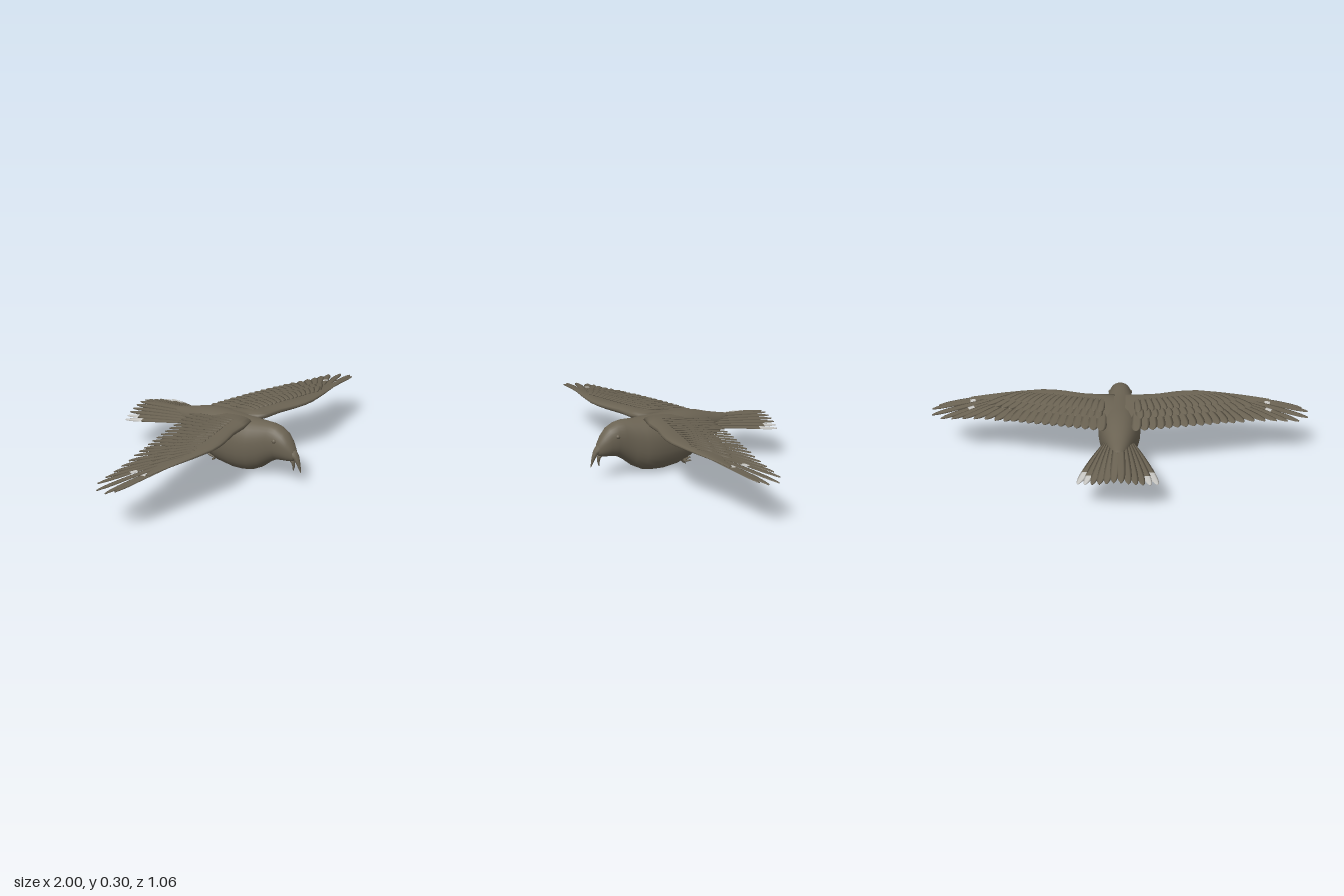
import * as THREE from 'three';

const V = (x, y, z) => new THREE.Vector3(x, y, z);
const lerp = THREE.MathUtils.lerp;

// Cross-section outlines as functions of the angle
const round = (a) => [Math.cos(a), Math.sin(a)];
const full = (a) => round(a).map((n) => Math.sign(n) * Math.abs(n) ** 0.9);
const airfoil = (a) => [Math.cos(a), Math.sin(a) * (0.6 + 0.4 * Math.cos(a))];

// Closed skin through rings of { c: centre, u, v: half axes }
function loft(rings, shape = round, sides = 10) {
  const pos = [], idx = [], n = rings.length;
  const along = rings[n - 1].c.clone().sub(rings[0].c);
  const mid = rings[n >> 1];
  const turn = mid.u.clone().cross(mid.v).dot(along) < 0 ? -1 : 1;
  for (const { c, u, v } of rings) {
    for (let j = 0; j < sides; j++) {
      const [p, q] = shape((turn * j * 2 * Math.PI) / sides);
      pos.push(...c.clone().addScaledVector(u, p).addScaledVector(v, q).toArray());
    }
  }
  pos.push(...rings[0].c.toArray(), ...rings[n - 1].c.toArray());
  const first = n * sides, last = first + 1;
  for (let j = 0; j < sides; j++) {
    const k = (j + 1) % sides, e = (n - 1) * sides;
    for (let i = 0; i < n - 1; i++) {
      const a = i * sides + j, b = i * sides + k;
      idx.push(a, b, b + sides, a, b + sides, a + sides);
    }
    idx.push(first, k, j, last, e + j, e + k);
  }
  const g = new THREE.BufferGeometry();
  g.setAttribute('position', new THREE.Float32BufferAttribute(pos, 3));
  g.setIndex(idx);
  g.computeVertexNormals();
  return g;
}

// Tapered limb through [x, y, z, radius across, radius up]
function limb(points) {
  const cs = points.map((p) => V(p[0], p[1], p[2]));
  return loft(points.map((p, i) => {
    const t = cs[Math.min(i + 1, cs.length - 1)].clone().sub(cs[Math.max(i - 1, 0)]).normalize();
    const u = V(1, 0, 0);
    return { c: cs[i], v: t.cross(u).normalize().multiplyScalar(p[4]), u: u.multiplyScalar(p[3]) };
  }));
}

// Height of the wing's upper side
const wingTop = (x) => 0.298 - 0.055 * x * x;
const wingY = (x, z) => wingTop(x) - 0.01 - 0.1 * Math.max(0, 0.25 - z);

export function createModel() {
  const plumage = new THREE.MeshStandardMaterial({ color: 0x6b6353 });
  plumage.name = 'brownPlumage';
  const pale = new THREE.MeshStandardMaterial({ color: 0xc9c8c4 });
  pale.name = 'paleMarking';

  const bird = new THREE.Group();
  bird.name = 'flyingBird';
  const add = (parent, name, geo, mat = plumage) => {
    const m = new THREE.Mesh(geo, mat);
    m.name = name;
    parent.add(m);
    return m;
  };
  const group = (name) => {
    const g = new THREE.Group();
    g.name = name;
    bird.add(g);
    return g;
  };

  // Thin blade from root to tip; colour alternates brown and pale at each cut
  function feather(parent, name, root, tip, half, roll, cuts = []) {
    const dir = tip.clone().sub(root);
    const side = dir.clone().cross(V(0, 1, 0)).normalize();
    if (side.x < 0) side.negate();
    side.y += roll;
    const up = side.clone().cross(dir).normalize().multiplyScalar(0.0028);
    const ends = [0, ...cuts, 1];
    for (let s = 0; s < ends.length - 1; s++) {
      const rings = [];
      for (let i = 0; i <= 9; i++) {
        const e = i / 9;
        const t = lerp(ends[s], ends[s + 1], ends[s + 1] === 1 ? 1 - (1 - e) ** 1.6 : e);
        let w = 0.55 + 0.45 * Math.sin((Math.min(1, t / 0.6) * Math.PI) / 2);
        if (t > 0.75) w *= Math.sqrt(1 - 0.97 * ((t - 0.75) / 0.25) ** 2);
        const c = root.clone().addScaledVector(dir, t);
        c.y += 0.004 * Math.sin(Math.PI * t);
        rings.push({ c, u: side.clone().multiplyScalar(half * w), v: up });
      }
      add(parent, name + (s % 2 ? 'Marking' : ''), loft(rings, round, 6), s % 2 ? pale : plumage);
    }
  }

  // Head, trunk and rump: z, bottom, top, half width
  const stations = [
    [0.495, 0.135, 0.165, 0.012], [0.485, 0.122, 0.19, 0.025], [0.46, 0.116, 0.23, 0.042],
    [0.43, 0.113, 0.262, 0.054], [0.39, 0.107, 0.282, 0.062], [0.35, 0.082, 0.289, 0.068],
    [0.3, 0.04, 0.287, 0.082], [0.25, 0.014, 0.285, 0.1], [0.2, 0.004, 0.285, 0.11],
    [0.14, 0, 0.288, 0.112], [0.05, 0.01, 0.288, 0.11], [-0.02, 0.035, 0.286, 0.103],
    [-0.1, 0.078, 0.272, 0.085], [-0.16, 0.112, 0.254, 0.065], [-0.22, 0.135, 0.24, 0.05],
    [-0.27, 0.152, 0.23, 0.035], [-0.31, 0.168, 0.215, 0.015],
  ];
  add(bird, 'body', loft(stations.map(([z, b, t, w]) => (
    { c: V(0, (b + t) / 2, z), u: V(w, 0, 0), v: V(0, (t - b) / 2, 0) })), full, 32));

  // Open, down-curved beak
  add(bird, 'upperBeak', limb([[0, 0.162, 0.475, 0.026, 0.024], [0, 0.142, 0.499, 0.018, 0.015],
    [0, 0.115, 0.512, 0.011, 0.01], [0, 0.09, 0.521, 0.007, 0.006], [0, 0.068, 0.528, 0.001, 0.001]]));
  add(bird, 'lowerBeak', limb([[0, 0.135, 0.468, 0.02, 0.016], [0, 0.112, 0.482, 0.012, 0.009],
    [0, 0.09, 0.485, 0.007, 0.006], [0, 0.066, 0.482, 0.001, 0.001]]));

  // Arm sections: x, leading z, chord, half thickness
  const arm = [
    [0.03, 0.24, 0.3, 0.03], [0.1, 0.25, 0.26, 0.036], [0.2, 0.262, 0.23, 0.033],
    [0.3, 0.293, 0.2, 0.028], [0.36, 0.306, 0.19, 0.025], [0.42, 0.31, 0.18, 0.022],
    [0.53, 0.297, 0.15, 0.017], [0.63, 0.28, 0.1, 0.011], [0.72, 0.262, 0.05, 0.006],
    [0.8, 0.246, 0.02, 0.003],
  ];
  // Flight feather tips, outermost first
  const primaryTips = [[0.97, 0.2], [1, 0.17], [0.993, 0.11], [0.94, 0.065], [0.88, 0.055],
    [0.82, 0.05], [0.76, 0.04], [0.7, 0.03], [0.645, 0.012], [0.595, 0]];

  for (const s of [1, -1]) {
    const label = s > 0 ? 'left' : 'right';
    const wing = group(label + 'Wing');
    add(wing, 'wingArm', loft(arm.map(([x, lead, chord, h]) => ({
      c: V(s * x, wingTop(x) - h, lead - chord / 2),
      u: V(0, 0.04 * chord, chord / 2), v: V(0, h, 0),
    })), airfoil, 20));
    const plume = (name, x0, z0, x1, z1, half, lift = 0, cuts = []) => feather(wing, name,
      V(s * x0, wingY(x0, z0) + lift, z0), V(s * x1, wingY(x1, z1) + lift, z1), half, s * 0.12, cuts);

    primaryTips.forEach(([x, z], i) => {
      const k = i / 9;
      plume('primaryFeather', lerp(0.62, 0.47, k), lerp(0.265, 0.2, k), x, z, lerp(0.019, 0.027, k), 0,
        i === 1 ? [0.43, 0.5] : i === 3 ? [0.54, 0.62] : []);
    });
    for (let i = 0; i < 12; i++) {
      const k = i / 11;
      plume('secondaryFeather', lerp(0.45, 0.09, k), lerp(0.2, 0.12, k),
        lerp(0.555, 0.09, k), lerp(-0.005, -0.112, k ** 0.9), 0.028);
    }
    // Two rows of overlapping coverts
    for (let i = 0; i < 16; i++) {
      const k = i / 15;
      plume('greaterCovert', lerp(0.56, 0.1, k), lerp(0.25, 0.15, k),
        lerp(0.7, 0.11, k), lerp(0.16, -0.01, k ** 0.7), 0.022, 0.006);
      plume('medianCovert', lerp(0.52, 0.09, k), lerp(0.26, 0.17, k),
        lerp(0.62, 0.1, k), lerp(0.2, 0.045, k ** 0.7), 0.02, 0.01);
    }

    // Half of the tail fan, with pale corners
    const tail = group(label + 'TailFan');
    for (let i = 0; i < 6; i++) {
      const k = (i + 0.5) / 5.5;
      feather(tail, 'tailFeather', V(s * 0.055 * k, 0.236 - 0.045 * k, -0.1),
        V(s * 0.192 * k, 0.2 - 0.042 * k, -0.53 + 0.05 * k * k), 0.023, -s * 0.1,
        i === 5 ? [0.76] : i === 4 ? [0.83] : []);
    }

    // Eye
    const eye = add(bird, label + 'Eye', new THREE.SphereGeometry(0.011, 14, 10));
    eye.position.set(s * 0.055, 0.222, 0.4);

    // Foot tucked against the belly, toes curled back
    const foot = group(label + 'Foot');
    const x = s * 0.042;
    add(foot, 'shank', limb([[x, 0.055, 0.03, 0.008, 0.008], [x, 0.035, 0.028, 0.008, 0.008],
      [x, 0.022, 0.012, 0.008, 0.007]]));
    [[-0.014, 0.046, -0.045], [0, 0.033, -0.036], [0.014, 0.02, -0.03], [0, 0.006, -0.004]].forEach(([dx, y, z]) => {
      add(foot, 'toe', limb([[x, 0.025, 0.018, 0.006, 0.006],
        [x + dx * 0.6, lerp(0.025, y, 0.5) - 0.002, lerp(0.018, z, 0.5), 0.005, 0.005],
        [x + dx, y + 0.004, lerp(0.018, z, 0.85), 0.004, 0.004], [x + dx, y - 0.002, z, 0.001, 0.001]]));
    });
  }
  return bird;
}
